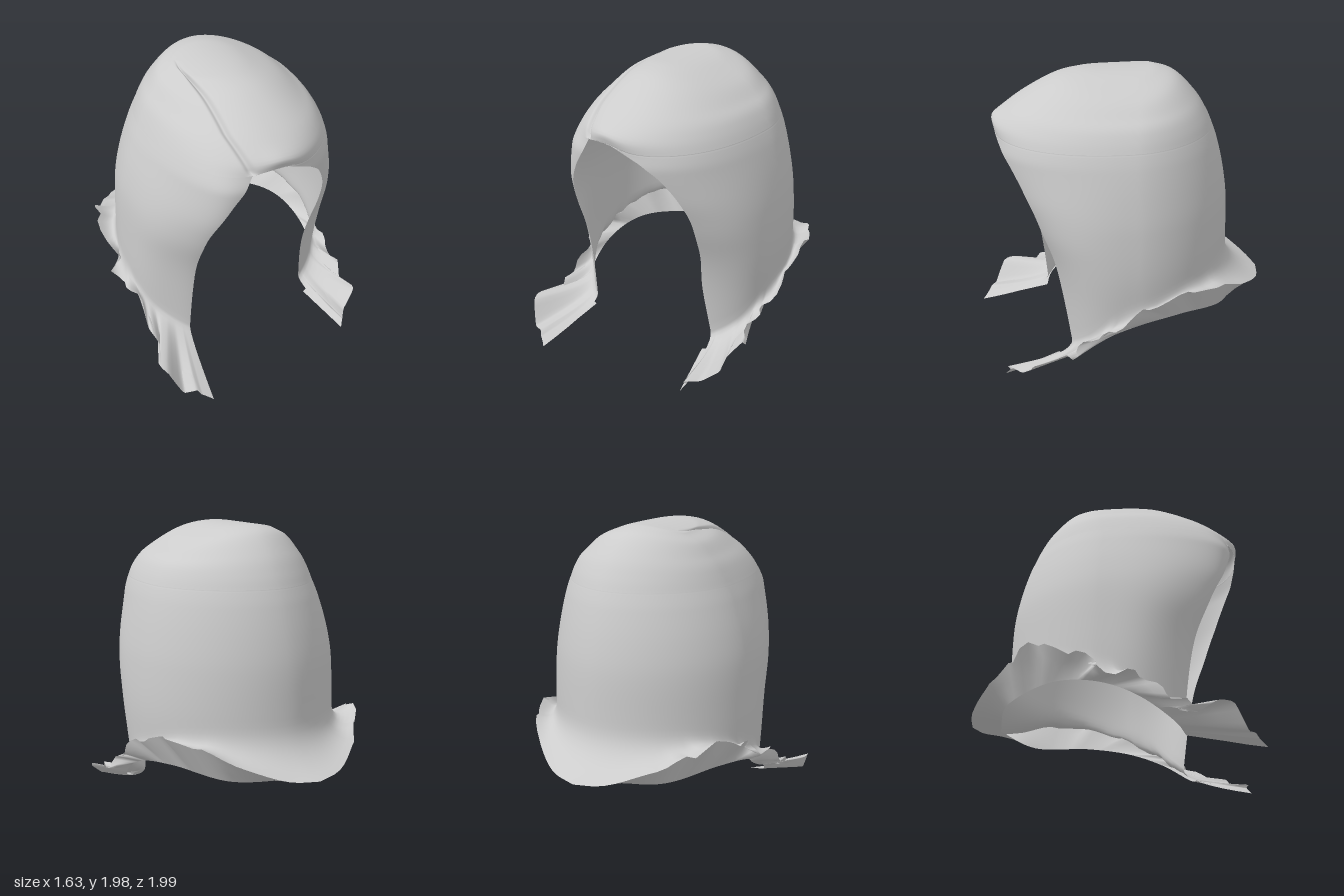
import * as THREE from 'three';

const V = (x, y, z) => new THREE.Vector3(x, y, z);
const { smoothstep, lerp, clamp } = THREE.MathUtils;
const COLS = 128, CEIL = 1.61, N_BACK = 1.85;

// Smooth lookup: rows are [key, value, value...]
function lookup(rows, t) {
  const last = rows.length - 1;
  t = clamp(t, rows[0][0], rows[last][0]);
  let i = 0;
  while (i < last - 1 && t > rows[i + 1][0]) i++;
  const h = rows[i + 1][0] - rows[i][0], f = (t - rows[i][0]) / h;
  const slope = (k, c) => {
    const a = rows[Math.max(k - 1, 0)], b = rows[Math.min(k + 1, last)];
    return (b[c] - a[c]) / (b[0] - a[0]);
  };
  return rows[i].slice(1).map((p, n) => {
    const c = n + 1, f2 = f * f, f3 = f2 * f;
    return p * (2 * f3 - 3 * f2 + 1) + rows[i + 1][c] * (3 * f2 - 2 * f3)
      + h * (slope(i, c) * (f3 - 2 * f2 + f) + slope(i + 1, c) * (f3 - f2));
  });
}

// Sides: height, centre x, half width, front z, back z
const SIDES = [[0, 0, 0.68, 0.46, -0.74], [0.5, 0.01, 0.72, 0.5, -0.74], [0.8, 0.02, 0.73, 0.56, -0.735],
  [1.1, 0.02, 0.715, 0.69, -0.725], [1.3, 0.025, 0.68, 0.79, -0.695], [1.5, 0.035, 0.625, 0.85, -0.645],
  [CEIL, 0.04, 0.583, 0.835, -0.605], [1.69, 0.04, 0.545, 0.805, -0.57]];
// Crown: progress, height, centre x, half width, front z, back z
const CROWN = [[-0.16, 1.5, 0.035, 0.625, 0.85, -0.645], [0, CEIL, 0.04, 0.583, 0.835, -0.605],
  [0.12, 1.69, 0.04, 0.545, 0.805, -0.57], [0.3, 1.805, 0.033, 0.475, 0.705, -0.5], [0.5, 1.935, 0.015, 0.375, 0.47, -0.375],
  [0.7, 1.98, -0.03, 0.24, 0.29, -0.25], [0.85, 1.985, -0.12, 0.13, 0.12, -0.18], [1, 1.985, -0.22, 0, -0.12, -0.12]];
// Face opening: height, x of the edge
const EDGE_LEFT = [[0.1, 0.49], [0.2, 0.48], [0.6, 0.445], [0.9, 0.47], [1.15, 0.465], [1.3, 0.42], [1.45, 0.335],
  [1.52, 0.265], [1.57, 0.18], [1.6, 0.04], [CEIL, -0.18]];
const EDGE_RIGHT = [[0.1, -0.46], [0.6, -0.45], [1, -0.44], [1.2, -0.405], [1.4, -0.31], [1.52, -0.23], [CEIL, -0.18]];
// Height where the ends begin to flick out: 0 back, 1 front edge
const FLICK = [[0, 0.74], [0.35, 0.74], [0.6, 0.62], [0.8, 0.38], [1, 0.22]];

// Outer tips and inner rim of the flicked ends, front edge to back
const TIPS = new THREE.CatmullRomCurve3([V(0.55, 0.03, 0.95), V(0.73, 0.2, 0.75), V(0.74, 0.26, 0.5), V(0.75, 0.4, 0.3),
  V(0.79, 0.47, 0.08), V(0.74, 0.6, -0.15), V(0.74, 0.67, -0.35), V(0.66, 0.65, -0.55), V(0.45, 0.54, -0.78), V(0.2, 0.45, -0.95), V(0, 0.43, -1)]);
const RIM = new THREE.CatmullRomCurve3([V(0.47, 0.13, 0.5), V(0.6, 0.17, 0.45), V(0.68, 0.32, 0.24), V(0.7, 0.42, 0),
  V(0.65, 0.46, -0.3), V(0.44, 0.41, -0.64), V(0, 0.39, -0.8)]);

// Front locks are squarer in section than the dome
const squareness = y => lerp(2.8, 2.2, smoothstep(y, 0.95, 1.5));

// Point on a horizontal section at an angle running from +z towards +x
function onSection([cx, w, zf, zb], y, angle, cz) {
  const s = Math.sin(angle), c = Math.cos(angle), e = 2 / (c >= 0 ? squareness(y) : N_BACK);
  const p = V(cx + w * Math.sign(s) * Math.abs(s) ** e, y,
    cz + (c >= 0 ? zf - cz : zb - cz) * Math.abs(c) ** e);
  if (c > 0) {
    // Rolled, lifted fringe over the forehead
    p.z += 0.045 * Math.exp(-((p.x / 0.24) ** 2) - ((y - 1.68) / 0.075) ** 2);
    p.y += 0.04 * Math.exp(-(((p.x + 0.01) / 0.13) ** 2) - ((y - CEIL) / 0.1) ** 2);
    // Fuller lock on the right of the face
    p.z += 0.085 * Math.exp(-(((p.x + 0.4) / 0.18) ** 2)) * (1 - smoothstep(y, 1.5, 1.85));
  }
  return p;
}

const angleAt = ([cx, w], x, y) => {
  const f = w > 0 ? clamp((x - cx) / w, -0.93, 0.93) : -0.93;
  return Math.asin(Math.sign(f) * Math.abs(f) ** (squareness(y) / 2));
};

function sidePoint(u, y) {
  const sec = lookup(SIDES, y);
  const a = angleAt(sec, lookup(EDGE_LEFT, y)[0], y);
  const b = Math.PI * 2 + angleAt(sec, lookup(EDGE_RIGHT, y)[0], y);
  return onSection(sec, y, a + (b - a) * u, 0);
}

function crownPoint(u, k) {
  const [y, ...sec] = lookup(CROWN, k);
  const partX = -0.18 - 0.06 * Math.min(1, k / 0.3);
  const a = angleAt(sec, partX, y), cz = -0.12 * k;
  const p = onSection(sec, y, a + Math.PI * 2 * u, cz);
  // Groove along the parting
  const d = p.distanceTo(onSection(sec, y, a, cz));
  const depth = 0.025 * Math.exp(-((d / 0.025) ** 2)) * Math.min(1, (1 - k) * 4);
  // Top rounds over from side to side
  p.y -= 0.04 * (p.x / 0.24) ** 2 * smoothstep(k, 0.15, 0.75);
  return p.add(V(0, 1, 0).sub(p).normalize().multiplyScalar(depth));
}

// Ragged offset, repeatable
const hash = n => { const v = Math.sin(n * 91.7 + 3.1) * 4373.3; return (v - Math.floor(v)) * 2 - 1; };
const ragged = t => { const i = Math.floor(t); return lerp(hash(i), hash(i + 1), t - i); };

function hemPoint(curve, u, jag) {
  const s = Math.abs(2 * u - 1), side = u < 0.5 ? 1 : -1;
  const p = curve.getPointAt(1 - s);
  if (jag) {
    const amount = smoothstep(s, 0.15, 0.4) * (s > 0.97 ? 0.3 : 1);
    p.x += 0.045 * amount * ragged(u * 56);
    p.y += 0.055 * amount * ragged(u * 56 + 100);
    p.z += 0.04 * amount * ragged(u * 56 + 200);
    // The right front lock reaches further forward
    const front = smoothstep(s, 0.8, 1);
    p.z += front * (side < 0 ? 0.04 : -0.08);
    p.y = Math.max(0, p.y + front * (side < 0 ? -0.04 : 0.03));
    if (side < 0) p.x += 0.05 * smoothstep(s, 0.8, 0.9) * (1 - smoothstep(s, 0.92, 1));
  }
  p.x *= side;
  return p;
}

function flickPoint(u, f) {
  const s = Math.abs(2 * u - 1), y0 = lookup(FLICK, s)[0];
  const curve = new THREE.QuadraticBezierCurve3(sidePoint(u, y0), sidePoint(u, y0 - 0.2 + 0.1 * s), hemPoint(TIPS, u, true));
  return curve.getPoint(f);
}

// Sheet from rows of points, bottom to top
function sheet(rowFns) {
  const pos = [], index = [], w = COLS + 1;
  rowFns.forEach((fn, r) => {
    for (let j = 0; j <= COLS; j++) {
      const t = j / COLS;
      pos.push(...fn(t - 0.75 * Math.sin(Math.PI * 2 * t) / (Math.PI * 2)).toArray());
      if (r && j < COLS) {
        const c = r * w + j, a = c - w;
        index.push(a, a + 1, c, a + 1, c + 1, c);
      }
    }
  });
  const g = new THREE.BufferGeometry();
  g.setAttribute('position', new THREE.Float32BufferAttribute(pos, 3));
  g.setIndex(index);
  g.computeVertexNormals();
  return g;
}

const steps = (n, fn) => Array.from({ length: n + 1 }, (_, i) => fn(i / n));

export function createModel() {
  const group = new THREE.Group();
  group.name = 'hair';
  const grey = new THREE.MeshStandardMaterial({ name: 'hair grey', color: 0xcccccc, side: THREE.DoubleSide });

  const add = (name, rows) => {
    const mesh = new THREE.Mesh(sheet(rows), grey);
    mesh.name = name;
    group.add(mesh);
  };

  // Smooth cap of hair: flick, sides, then crown up to the end of the parting
  const flick = steps(8, f => u => flickPoint(u, 1 - f));
  const sides = steps(40, v => u => {
    const y0 = lookup(FLICK, Math.abs(2 * u - 1))[0];
    return sidePoint(u, lerp(y0, CEIL, 1 - (1 - v) ** 2));
  });
  const crown = steps(32, k => u => crownPoint(u, k));
  add('hairCap', [...flick, ...sides.slice(1), ...crown.slice(1)]);

  // Underside of the flicked ends, from the inner rim out to the tips
  add('curledEnds', steps(3, f => u => hemPoint(RIM, u, false).lerp(hemPoint(TIPS, u, true), f)));

  return group;
}
